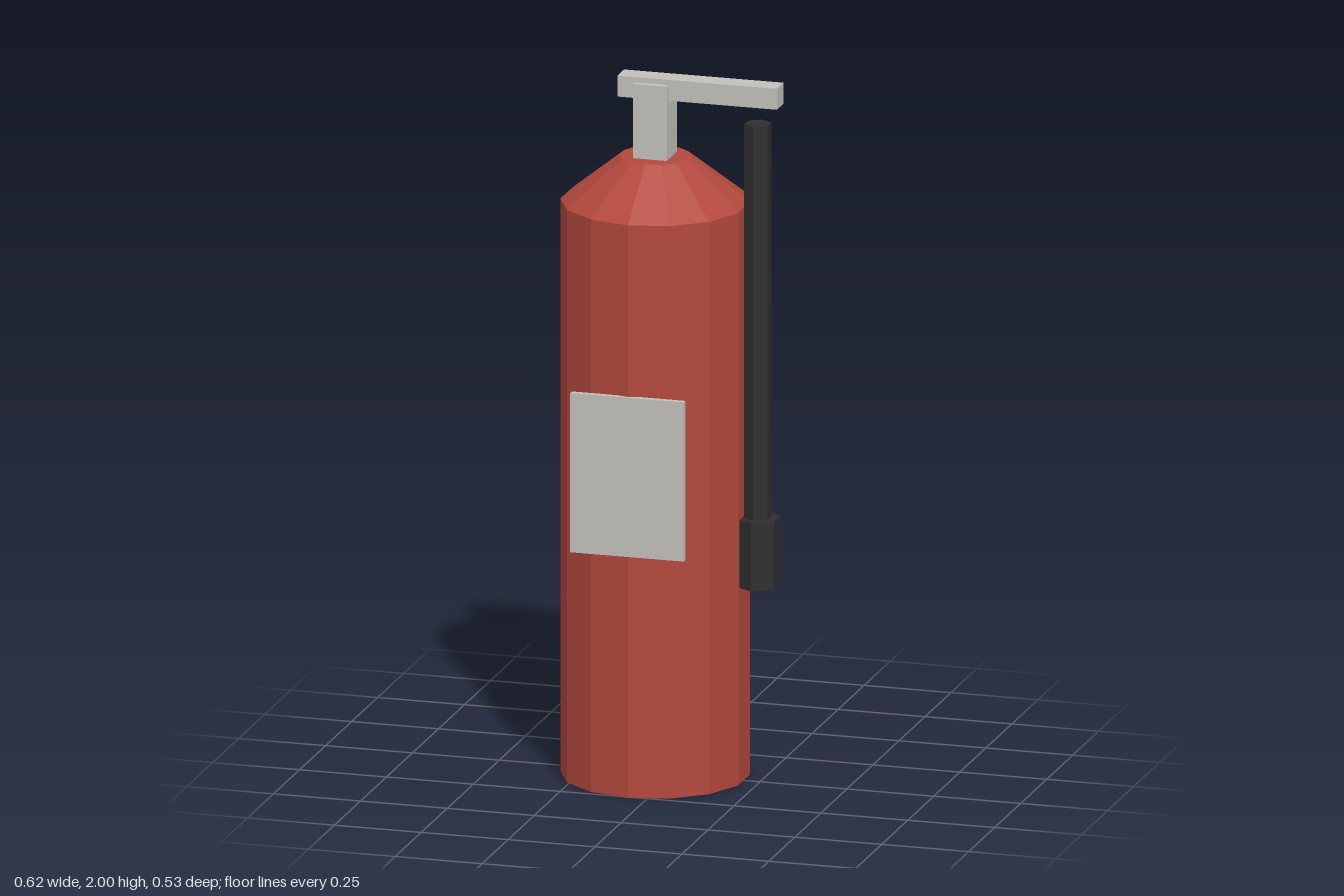
import * as THREE from 'three';

export function createModel() {
  const model = new THREE.Group();
  model.name = 'fireExtinguisher';

  const paint = (name, color) => {
    const m = new THREE.MeshStandardMaterial({ color, flatShading: true });
    m.name = name;
    return m;
  };
  const red = paint('red', 0xb3483c);
  const grey = paint('lightGrey', 0xc2c0ba);
  const black = paint('black', 0x2e2e2e);

  const add = (name, geometry, material, x, y, z) => {
    const mesh = new THREE.Mesh(geometry, material);
    mesh.name = name;
    mesh.position.set(x, y, z);
    model.add(mesh);
  };
  // Upright prism or cone frustum between two heights
  const column = (name, material, x, y0, y1, rTop, rBottom, sides, open = false) =>
    add(name, new THREE.CylinderGeometry(rTop, rBottom, y1 - y0, sides, 1, open),
      material, x, (y0 + y1) / 2, AXIS_Z);
  // Box given by its limits
  const block = (name, material, x0, x1, y0, y1, z0, z1) =>
    add(name, new THREE.BoxGeometry(x1 - x0, y1 - y0, z1 - z0),
      material, (x0 + x1) / 2, (y0 + y1) / 2, (z0 + z1) / 2);

  const AXIS_Z = -0.005;
  const tankX = -0.053;
  const hoseX = 0.242;

  // Tank and sloping shoulder
  column('tank', red, tankX, 0, 1.642, 0.262, 0.262, 14);
  column('shoulder', red, tankX, 1.642, 1.772, 0.0985, 0.262, 14);

  // Valve neck and lever
  block('valveNeck', grey, -0.102, -0.005, 1.77, 1.985, -0.054, 0.044);
  block('lever', grey, -0.152, 0.307, 1.94, 2.0, -0.037, 0.027);

  // Hose with its nozzle
  column('hose', black, hoseX, 0.74, 1.887, 0.0385, 0.0385, 6);
  column('nozzle', black, hoseX, 0.562, 0.757, 0.065, 0.065, 6);

  // Blank label plate on the front
  block('labelPlate', grey, -0.217, 0.11, 0.693, 1.15, 0.249, 0.265);

  return model;
}
